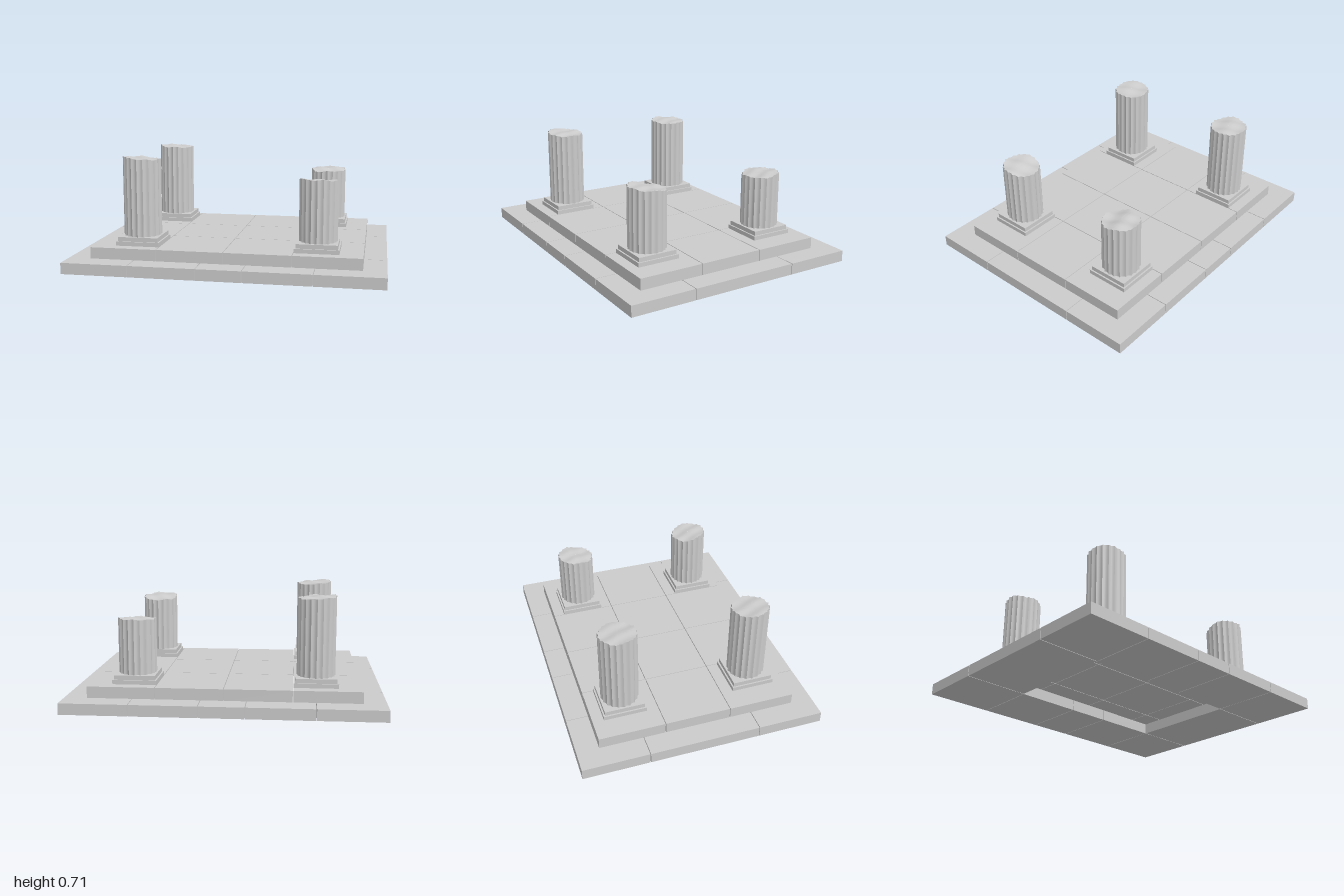
import * as THREE from 'three';
import { mergeVertices, toCreasedNormals } from 'three/addons/utils/BufferGeometryUtils.js';

const stone = new THREE.MeshStandardMaterial({ color: 0xcccccc });
const FLUTES = 20, SEGMENTS = FLUTES * 4, RADIUS = 0.122, GAP = 0.004;

// Box given by its edges, shrunk slightly wherever it meets a neighbour
function block(name, x0, x1, y0, y1, z0, z1, limX, limZ) {
  const trim = (v, lim, s) => (Math.abs(Math.abs(v) - lim) < 1e-6 ? v : v + s * GAP / 2);
  const a = trim(x0, limX, 1), b = trim(x1, limX, -1);
  const c = trim(z0, limZ, 1), d = trim(z1, limZ, -1);
  const mesh = new THREE.Mesh(new THREE.BoxGeometry(b - a, y1 - y0, d - c), stone);
  mesh.position.set((a + b) / 2, (y0 + y1) / 2, (c + d) / 2);
  mesh.name = name;
  return mesh;
}

// Tier of blocks laid out between cut lines, with optional empty cells
function tier(name, xs, zs, y0, y1, skip = () => false) {
  const g = new THREE.Group();
  g.name = name;
  for (let i = 0; i < xs.length - 1; i++)
    for (let j = 0; j < zs.length - 1; j++)
      if (!skip(i, j))
        g.add(block(name + 'Block', xs[i], xs[i + 1], y0, y1, zs[j], zs[j + 1], xs.at(-1), zs.at(-1)));
  return g;
}

// Sharp outward ridges with shallow scooped flutes between them
const fluteScale = (angle) => 1 - 0.07 * Math.abs(Math.sin(angle * FLUTES / 2));

// Fluted shaft whose top is a rough break given by breakHeight(x, z)
function shaft(bottom, breakHeight) {
  const g = new THREE.Group();
  g.name = 'brokenShaft';
  const side = new THREE.CylinderGeometry(RADIUS, RADIUS, 1, SEGMENTS, 1, true);
  const cap = new THREE.RingGeometry(0.002, RADIUS, SEGMENTS, 7);
  cap.rotateX(-Math.PI / 2);
  cap.translate(0, 0.5, 0);
  for (const geo of [side, cap]) {
    const p = geo.attributes.position;
    for (let i = 0; i < p.count; i++) {
      const s = fluteScale(Math.atan2(p.getZ(i), p.getX(i)));
      const x = p.getX(i) * s, z = p.getZ(i) * s;
      p.setXYZ(i, x, p.getY(i) > 0 ? breakHeight(x, z) : bottom, z);
    }
    geo.deleteAttribute('uv');
    geo.deleteAttribute('normal');
  }
  const sideMesh = new THREE.Mesh(toCreasedNormals(mergeVertices(side), 0.5), stone);
  sideMesh.name = 'flutedSide';
  const capMesh = new THREE.Mesh(toCreasedNormals(mergeVertices(cap), 0.5), stone);
  capMesh.name = 'brokenTop';
  g.add(sideMesh, capMesh);
  return g;
}

// Two-step square plinth with a broken shaft on it
function column({ x, z, height, tiltX, tiltZ, wave, phase }) {
  const g = new THREE.Group();
  g.name = 'column';
  g.position.set(x, 0, z);
  [[0.28, 0.145, 0.172], [0.26, 0.172, 0.2]].forEach(([w, y0, y1], i) => {
    const step = new THREE.Mesh(new THREE.BoxGeometry(w, y1 - y0, w), stone);
    step.position.y = (y0 + y1) / 2;
    step.name = i ? 'upperPlinth' : 'lowerPlinth';
    g.add(step);
  });
  g.add(shaft(0.2, (u, v) => height + tiltX * u + tiltZ * v
    + wave * Math.sin(38 * v + 9 * u + phase)
    + 0.003 * Math.sin(55 * u - 24 * v + phase * 2)));
  return g;
}

export function createModel() {
  const model = new THREE.Group();
  model.name = 'ruinedColumnPlatform';

  // Lower step: ring of blocks around an open middle
  const lower = tier('lowerStep', [-1, -0.57, -0.143, 0.143, 0.57, 1],
    [-0.785, -0.358, 0.358, 0.785], 0, 0.072, (i, j) => j === 1 && i > 0 && i < 4);
  // Upper step: full floor of slabs
  const upper = tier('upperStep', [-0.856, -0.428, 0, 0.428, 0.856],
    [-0.642, -0.214, 0.214, 0.642], 0.072, 0.145);
  model.add(lower, upper);

  // Four columns broken at different heights
  [
    { x: -0.57, z: 0.43, height: 0.697, tiltX: -0.06, tiltZ: 0.05, wave: 0.003, phase: 0.4 },
    { x: 0.57, z: 0.43, height: 0.582, tiltX: 0, tiltZ: 0.15, wave: 0.004, phase: 1 },
    { x: -0.57, z: -0.43, height: 0.697, tiltX: -0.05, tiltZ: 0, wave: 0.004, phase: 1.6 },
    { x: 0.57, z: -0.43, height: 0.548, tiltX: 0, tiltZ: -0.08, wave: 0.006, phase: 2.2 },
  ].forEach((c) => model.add(column(c)));

  return model;
}
